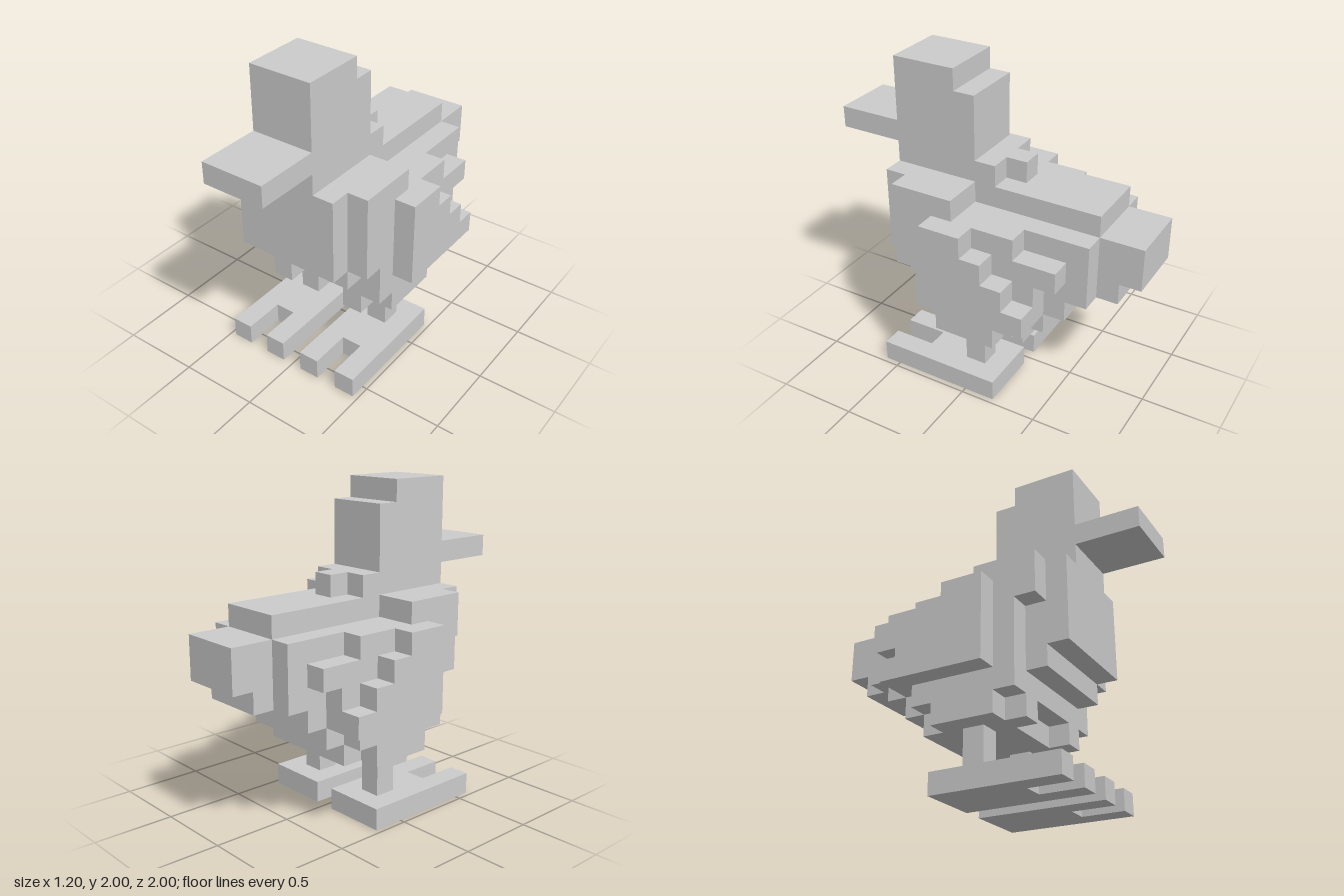
import * as THREE from 'three';

const U = 2 / 15; // edge of one cube
const material = new THREE.MeshStandardMaterial({ color: 0xcccccc, flatShading: true });

// Slab with a stepped side profile of [z, y] corners, running from x0 to x1
function slab(name, profile, x0, x1) {
  const shape = new THREE.Shape(profile.map(([z, y]) => new THREE.Vector2(-z, y)));
  const geometry = new THREE.ExtrudeGeometry(shape, { depth: x1 - x0, bevelEnabled: false });
  geometry.rotateY(Math.PI / 2).translate(x0, 0, 0).scale(U, U, U);
  const mesh = new THREE.Mesh(geometry, material);
  mesh.name = name;
  return mesh;
}

// Box given by its limits on each axis
function block(name, [x0, x1], [y0, y1], [z0, z1]) {
  return slab(name, [[z0, y0], [z1, y0], [z1, y1], [z0, y1]], x0, x1);
}

export function createModel() {
  const model = new THREE.Group();
  model.name = 'blockBird';

  // Stepped underside of the rump, shared by the inner body layers
  const rump = [[-5.5, 6], [-4.5, 6], [-4.5, 5], [-3.5, 5], [-3.5, 4], [-2.5, 4], [-2.5, 3]];

  // Middle of the body with the back ridge
  model.add(slab('bodyCore', [
    [1.5, 3], [1.5, 4], [2.5, 4], [2.5, 5], [3.5, 5], [3.5, 6], [4.5, 6], [4.5, 10],
    [-5.5, 10], ...rump], -1.5, 1.5));

  // Neck, head, beak and the small tuft behind the neck
  model.add(slab('head', [
    [4.5, 10], [4.5, 15], [1.5, 15], [1.5, 14], [0.5, 14], [0.5, 11], [-0.5, 11], [-0.5, 10]], -1.5, 1.5));
  model.add(block('beak', [-1.5, 1.5], [11, 12], [4.5, 7.5]));
  model.add(block('neckTuft', [-0.5, 0.5], [10, 11], [-1.5, -0.5]));

  // Tail
  model.add(slab('tail', [[-5.5, 6], [-5.5, 9], [-7.5, 9], [-7.5, 7], [-6.5, 7], [-6.5, 6]], -1.5, 1.5));

  const inner = [
    [2.5, 3], [2.5, 5], [3.5, 5], [3.5, 6], [4.5, 6], [4.5, 10], [0.5, 10], [0.5, 9], [-5.5, 9], ...rump];
  const wing = [
    [1.5, 5], [1.5, 9], [-0.5, 9], [-0.5, 8], [-1.5, 8], [-1.5, 7], [-2.5, 7], [-2.5, 6], [-3.5, 6], [-3.5, 5]];
  const foot = (x0, x1, z1) => block('foot', [x0, x1], [0, 1], [-1.5, z1]);

  for (const side of [1, -1]) {
    const label = side > 0 ? 'left' : 'right';
    const span = (a, b) => (side > 0 ? [a, b] : [-b, -a]);

    // The right shoulder is cut away higher than the left one
    const chest = side > 0 ? 6 : 8;
    const outer = [
      [1.5, 3], [1.5, 4], [2.5, 4], [2.5, chest], [3.5, chest], [3.5, 10], [0.5, 10], [0.5, 9],
      [-2.5, 9], [-2.5, 8], [-4.5, 8], [-4.5, 7], [-3.5, 7], [-3.5, 5], [-2.5, 5], [-2.5, 4],
      [-1.5, 4], [-1.5, 3]];

    model.add(slab(label + 'BodyInner', inner, ...span(1.5, 2.5)));
    model.add(slab(label + 'BodyOuter', outer, ...span(2.5, 3.5)));
    model.add(slab(label + 'Wing', wing, ...span(3.5, 4.5)));
    model.add(block(label + 'Leg', span(1.5, 2.5), [1, 3], [-0.5, 0.5]));

    // Foot with two toes and a gap between them
    const feet = new THREE.Group();
    feet.name = label + 'Foot';
    feet.add(foot(...span(0.5, 1.5), 4.5), foot(...span(1.5, 2.5), 2.5), foot(...span(2.5, 3.5), 4.5));
    model.add(feet);
  }
  return model;
}
